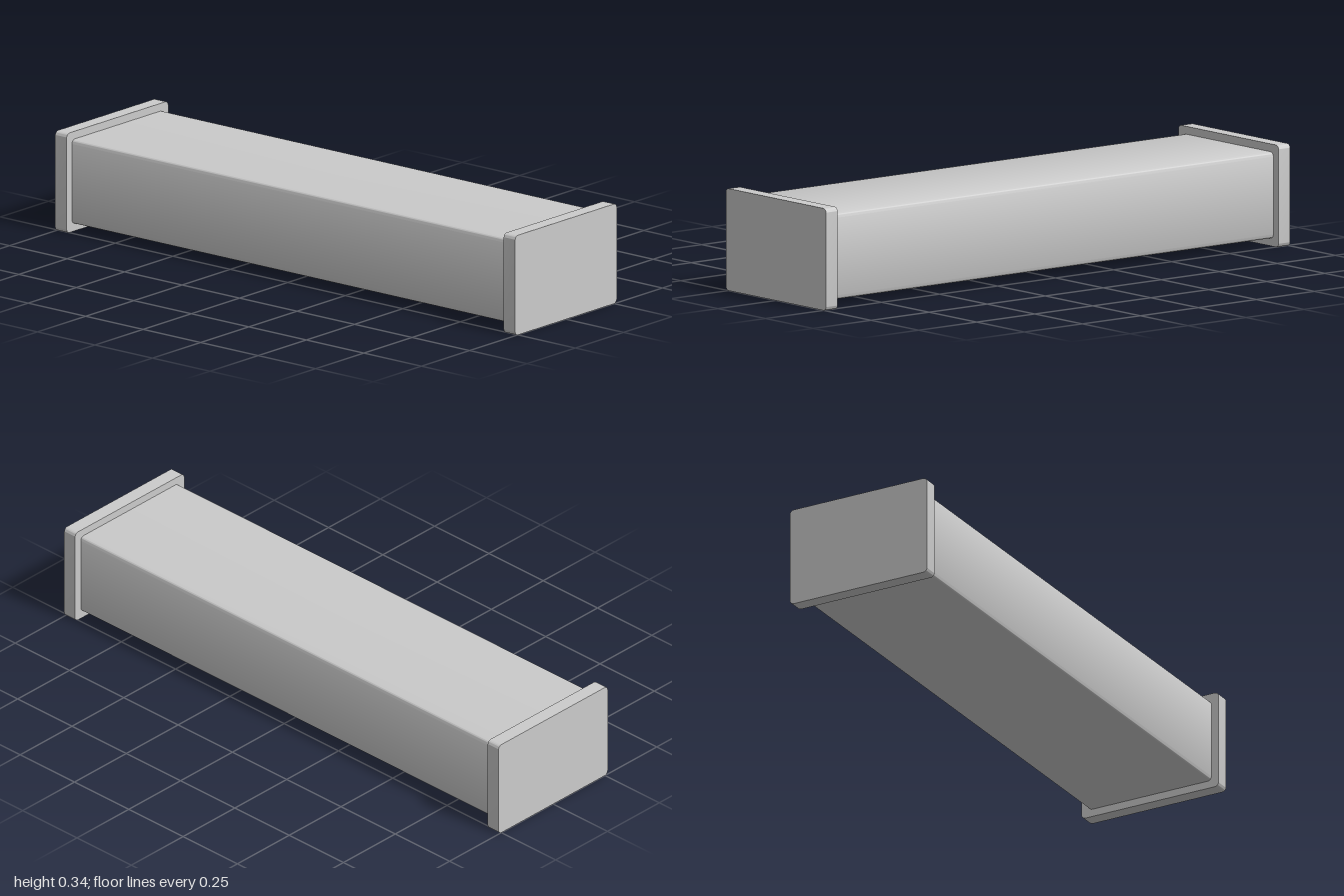
import * as THREE from 'three';
import { toCreasedNormals } from 'three/addons/utils/BufferGeometryUtils.js';

const HEIGHT = 0.345;
const CAP_THICKNESS = 0.05;

// Rounded rectangle (depth along z, height along y) extruded along x, centred on the origin
function roundedBar(depth, height, radius, length) {
  const w = depth / 2, h = height / 2, r = radius;
  const shape = new THREE.Shape();
  shape.absarc(w - r, h - r, r, 0, Math.PI / 2);
  shape.absarc(-w + r, h - r, r, Math.PI / 2, Math.PI);
  shape.absarc(-w + r, -h + r, r, Math.PI, Math.PI * 1.5);
  shape.absarc(w - r, -h + r, r, Math.PI * 1.5, Math.PI * 2);
  const geometry = new THREE.ExtrudeGeometry(shape, { depth: length, bevelEnabled: false, curveSegments: 8 });
  geometry.translate(0, 0, -length / 2);
  geometry.rotateY(Math.PI / 2);
  return toCreasedNormals(geometry, Math.PI / 6);
}

export function createModel() {
  const group = new THREE.Group();
  group.name = 'cappedBar';
  const material = new THREE.MeshStandardMaterial({ color: 0xcccccc });

  const add = (name, geometry, x) => {
    const mesh = new THREE.Mesh(geometry, material);
    mesh.name = name;
    mesh.position.set(x, HEIGHT / 2, 0);
    group.add(mesh);
  };

  // Long body between the caps
  add('body', roundedBar(0.472, 0.292, 0.015, 2 - 2 * CAP_THICKNESS), 0);

  // Wider end caps, mirrored
  const cap = roundedBar(0.527, HEIGHT, 0.015, CAP_THICKNESS);
  for (const side of [-1, 1]) {
    add(side > 0 ? 'leftCap' : 'rightCap', cap, side * (1 - CAP_THICKNESS / 2));
  }
  return group;
}
